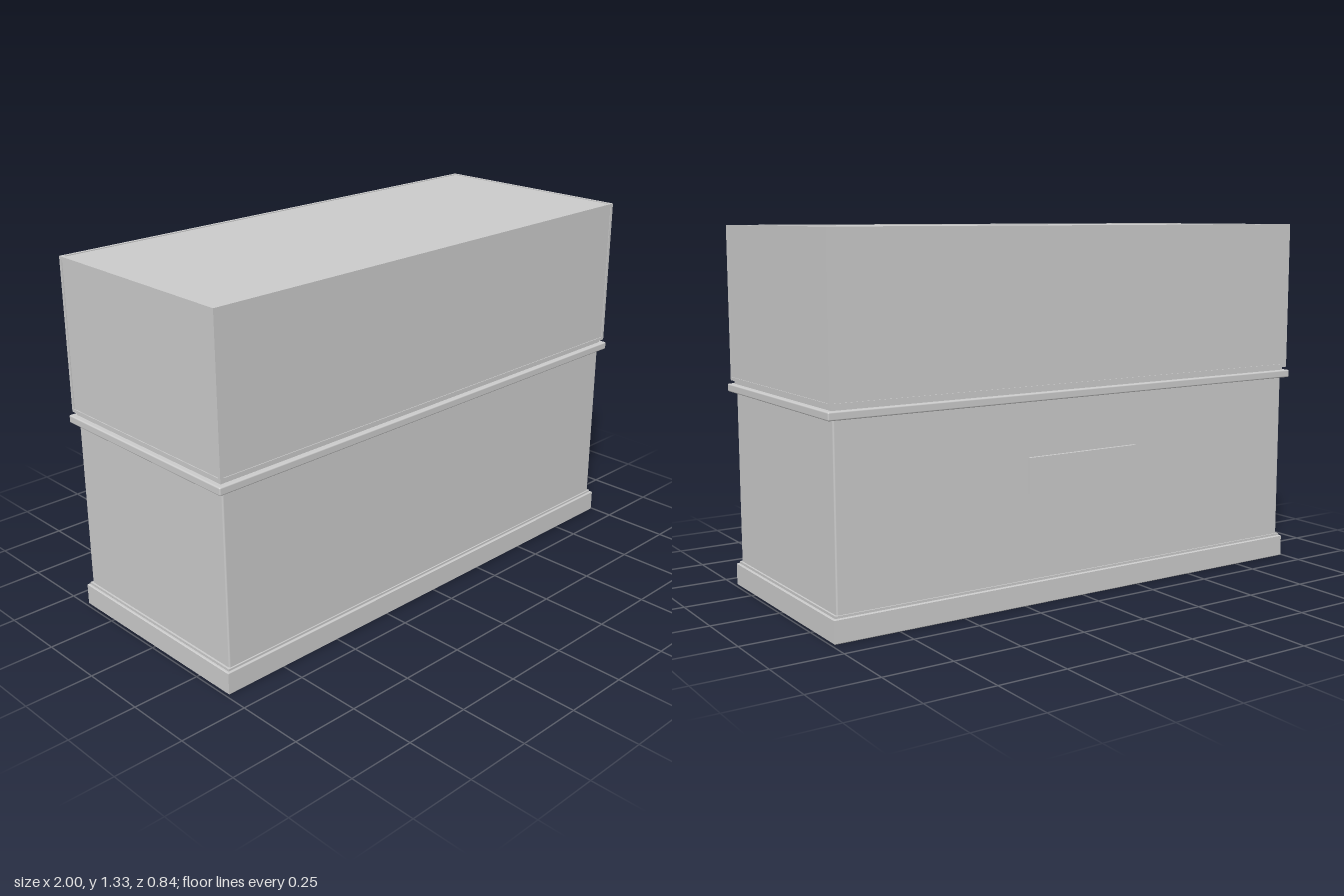
import * as THREE from 'three';
import { RoundedBoxGeometry } from 'three/addons/geometries/RoundedBoxGeometry.js';

const material = new THREE.MeshStandardMaterial({ color: 0xcccccc });

// Box given by its width, depth and bottom / top heights, with slightly eased edges
function slab(name, w, d, y0, y1, ease = 0) {
  const h = y1 - y0;
  const geo = ease ? new RoundedBoxGeometry(w, h, d, 2, ease) : new THREE.BoxGeometry(w, h, d);
  const mesh = new THREE.Mesh(geo, material);
  mesh.name = name;
  mesh.position.y = (y0 + y1) / 2;
  return mesh;
}

// Rectangle outline centred on the origin
function rectangle(Type, w, d) {
  return new Type([[-1, -1], [1, -1], [1, 1], [-1, 1]]
    .map(([x, y]) => new THREE.Vector2(x * w / 2, y * d / 2)));
}

// Hollow skirting around the foot, open underneath
function skirting(w, d, h, wall) {
  const b = 0.003;
  const shape = rectangle(THREE.Shape, w - 2 * b, d - 2 * b);
  shape.holes.push(rectangle(THREE.Path, w - 2 * wall, d - 2 * wall));
  const geo = new THREE.ExtrudeGeometry(shape, {
    depth: h - 2 * b, bevelEnabled: true, bevelSize: b, bevelThickness: b, bevelSegments: 1,
  });
  geo.rotateX(-Math.PI / 2);
  geo.translate(0, b, 0);
  const mesh = new THREE.Mesh(geo, material);
  mesh.name = 'skirting';
  return mesh;
}

// Display case: inset panels held by a thin bar along each of the twelve edges
function displayCase(w, d, y0, y1) {
  const group = new THREE.Group();
  group.name = 'displayCase';
  const bar = 0.012, inset = 0.003, h = y1 - y0;
  group.add(slab('casePanels', w - 2 * inset, d - 2 * inset, y0 + inset, y1 - inset));
  const size = [w, h, d];
  for (let axis = 0; axis < 3; axis++) {
    const dims = [bar, bar, bar];
    dims[axis] = size[axis];
    const geo = new THREE.BoxGeometry(...dims);
    const [a, b] = [0, 1, 2].filter((i) => i !== axis);
    for (const s of [-1, 1]) for (const t of [-1, 1]) {
      const p = [0, 0, 0];
      p[a] = s * (size[a] - bar) / 2;
      p[b] = t * (size[b] - bar) / 2;
      const mesh = new THREE.Mesh(geo, material);
      mesh.name = 'caseEdge';
      mesh.position.set(p[0], p[1] + (y0 + y1) / 2, p[2]);
      group.add(mesh);
    }
  }
  return group;
}

export function createModel() {
  const model = new THREE.Group();
  model.name = 'displayCabinet';

  // Foot and cabinet body
  model.add(skirting(1.98, 0.822, 0.083, 0.008));
  model.add(slab('footPanel', 1.968, 0.81, 0.07, 0.081));
  model.add(slab('footStep', 1.962, 0.806, 0.075, 0.091));
  model.add(slab('cabinetBody', 1.948, 0.796, 0.075, 0.73, 0.006));

  // Projecting ledge and the shadow gap under the case
  model.add(slab('ledge', 2, 0.84, 0.725, 0.754, 0.005));
  model.add(slab('shadowGap', 1.96, 0.80, 0.75, 0.77));
  model.add(displayCase(1.98, 0.824, 0.766, 1.325));

  // Blank plate on the back
  const plate = slab('backPlate', 0.47, 0.014, 0.4, 0.528);
  plate.position.z = -0.403;
  model.add(plate);

  return model;
}
